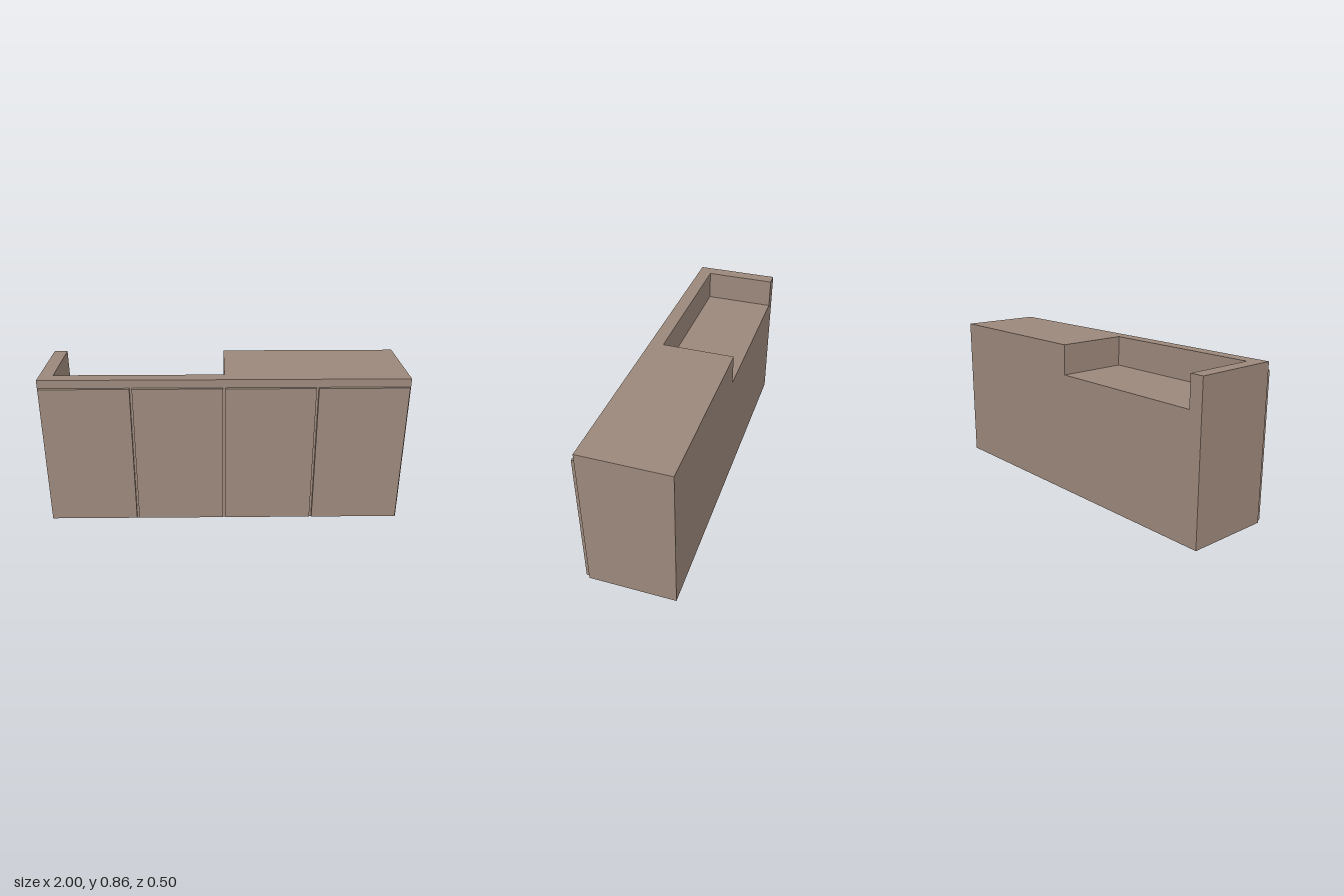
import * as THREE from 'three';

export function createModel() {
  const group = new THREE.Group();
  const taupe = new THREE.MeshStandardMaterial({ color: 0x9c887b });
  taupe.name = 'taupe';

  const HEIGHT = 0.857, FLOOR = 0.687, BACK = -0.25, FRONT = 0.232;

  const add = (name, geometry) => {
    const mesh = new THREE.Mesh(geometry, taupe);
    mesh.name = name;
    group.add(mesh);
  };
  // Box given by its minimum corner and its size
  const box = (x, y, z, w, h, d) =>
    new THREE.BoxGeometry(w, h, d).translate(x + w / 2, y + h / 2, z + d / 2);

  // Cabinet body up to the floor of the recess
  add('cabinetBody', box(-1, 0, BACK, 2, FLOOR, FRONT - BACK));

  // Counter top around the recess, which is open to the back (plan outline as x, z)
  const outline = [
    [-1, FRONT], [1, FRONT], [1, BACK], [0, BACK],
    [0, 0.155], [-0.925, 0.155], [-0.925, BACK], [-1, BACK],
  ];
  const shape = new THREE.Shape(outline.map(([x, z]) => new THREE.Vector2(x, -z)));
  const top = new THREE.ExtrudeGeometry(shape, { depth: HEIGHT - FLOOR, bevelEnabled: false });
  add('counterTop', top.rotateX(-Math.PI / 2).translate(0, FLOOR, 0));

  // Four equal door panels on the front
  for (let i = 0; i < 4; i++) {
    add(`doorPanel${i + 1}`, box(-0.995 + i * 0.5, 0.009, FRONT, 0.487, 0.802, 0.018));
  }
  return group;
}
